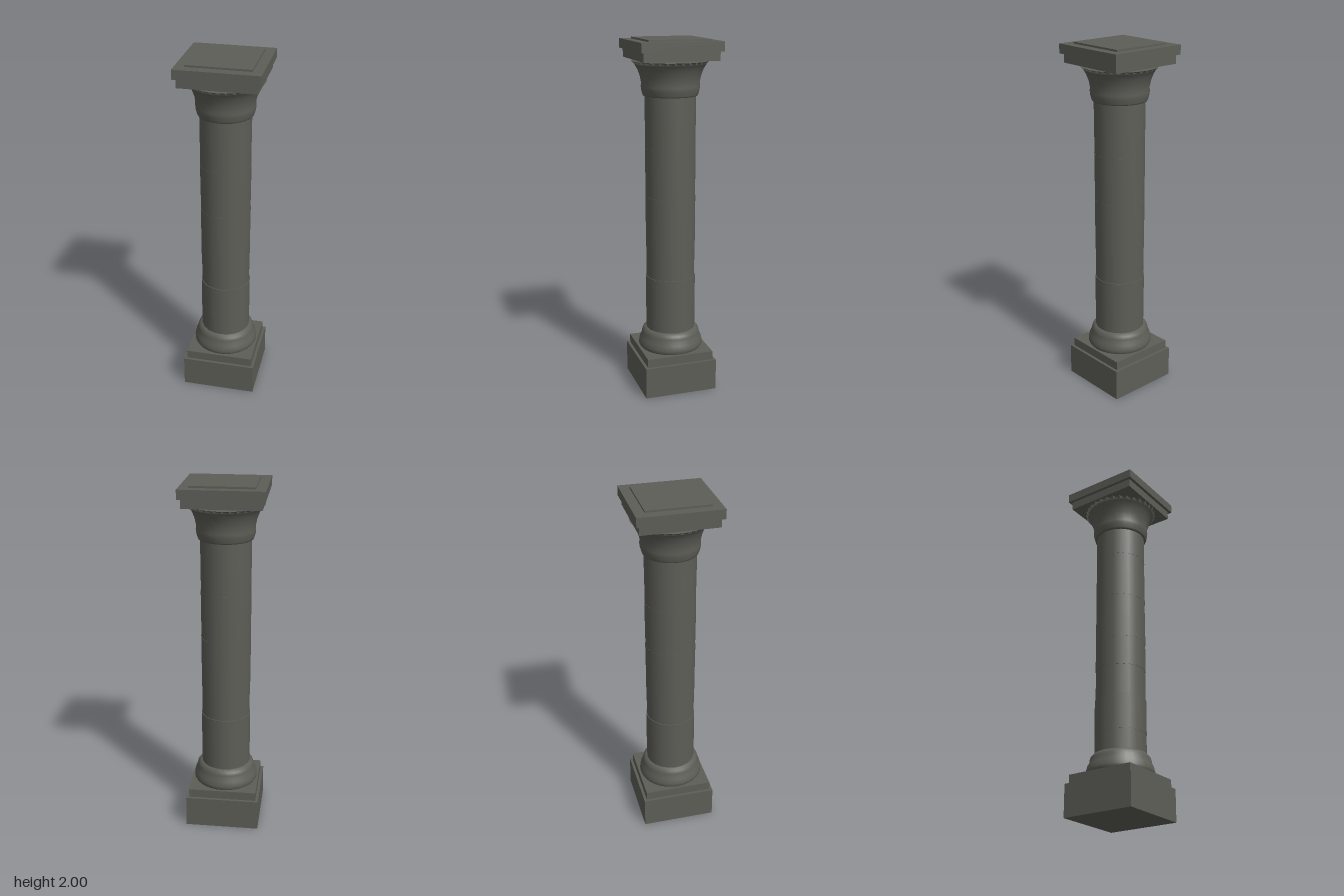
import * as THREE from 'three';

export function createModel() {
  const column = new THREE.Group();
  column.name = 'column';
  const stone = new THREE.MeshStandardMaterial({ color: 0x5e5e58 });
  stone.name = 'darkStone';

  const add = (name, geometry, y = 0) => {
    const mesh = new THREE.Mesh(geometry, stone);
    mesh.name = name;
    mesh.position.y = y;
    column.add(mesh);
    return mesh;
  };
  // Square slab between two heights
  const slab = (name, half, y0, y1) =>
    add(name, new THREE.BoxGeometry(half * 2, y1 - y0, half * 2), (y0 + y1) / 2);
  // Smooth turned part from [radius, height] pairs
  const turned = (name, profile) =>
    add(name, new THREE.LatheGeometry(profile.map(([r, y]) => new THREE.Vector2(r, y)), 32));

  // Square foot
  slab('plinth', 0.21, 0, 0.18);
  slab('plinthStep', 0.194, 0.18, 0.23);

  // Rounded base moulding
  turned('baseMoulding', [
    [0.178, 0.228], [0.185, 0.24], [0.185, 0.255], [0.179, 0.28], [0.169, 0.298],
    [0.167, 0.315], [0.161, 0.332], [0.149, 0.345], [0.13, 0.347],
  ]);

  // Shaft of stacked drums, each a little different in width
  const joints = [0.335, 0.46, 0.66, 0.83, 1.0, 1.13, 1.26, 1.4, 1.53, 1.7];
  const radii = [0.141, 0.142, 0.138, 0.14, 0.141, 0.14, 0.141, 0.14, 0.141];
  radii.forEach((r, i) => {
    const height = joints[i + 1] - joints[i];
    add('shaftDrum' + (i + 1), new THREE.CylinderGeometry(r, r, height, 20), joints[i] + height / 2);
  });

  // Flared capital, closed at both ends
  turned('capital', [
    [0, 1.693], [0.15, 1.693], [0.153, 1.7], [0.16, 1.725], [0.162, 1.745], [0.16, 1.765],
    [0.167, 1.8], [0.18, 1.835], [0.196, 1.862], [0.213, 1.88], [0, 1.881],
  ]);

  // Square top, resting just clear of the capital
  slab('abacusLower', 0.21, 1.889, 1.938);
  slab('abacusUpper', 0.227, 1.938, 1.99);
  slab('topPanel', 0.173, 1.99, 2.0);

  return column;
}
